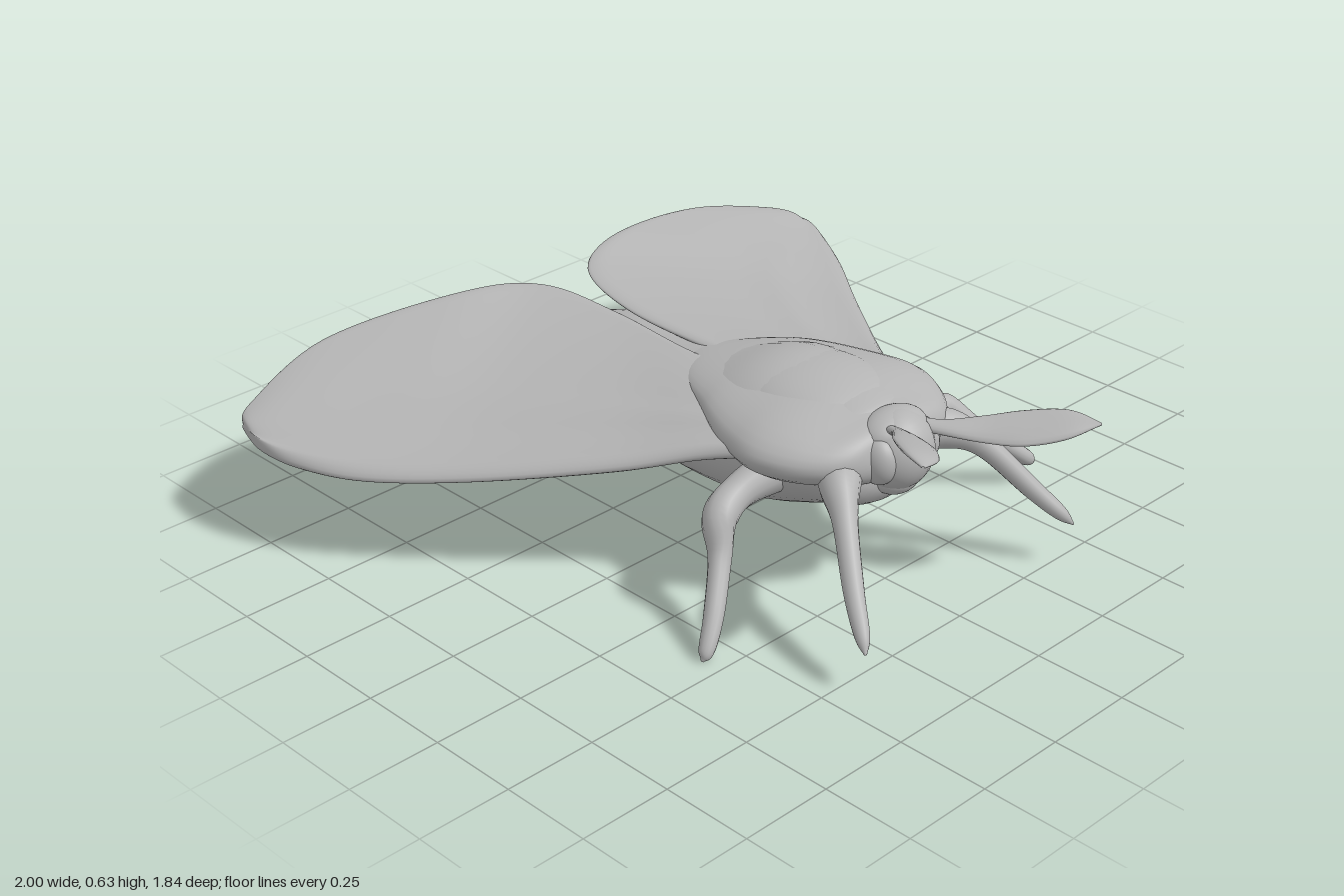
import * as THREE from 'three';

const V = (p) => new THREE.Vector3(p[0], p[1], p[2]);
const curve = (pts) => new THREE.CatmullRomCurve3(pts.map(V), false, 'catmullrom', 0.5);

export function createModel() {
  const group = new THREE.Group();
  const grey = new THREE.MeshStandardMaterial({ color: 0xb4b4b4 });
  grey.name = 'plain grey';

  const add = (name, geometry) => {
    const mesh = new THREE.Mesh(geometry, grey);
    mesh.name = name;
    group.add(mesh);
    return mesh;
  };

  // Skin a list of closed rings
  const skin = (rings, flip = false) => {
    const n = rings[0].length, pos = [], idx = [];
    rings.forEach((r) => r.forEach((p) => pos.push(p.x, p.y, p.z)));
    for (let i = 0; i < rings.length - 1; i++) {
      for (let j = 0; j < n; j++) {
        const a = i * n + j, b = i * n + ((j + 1) % n), c = a + n, d = b + n;
        if (flip) idx.push(a, c, b, b, c, d);
        else idx.push(a, b, c, b, d, c);
      }
    }
    const g = new THREE.BufferGeometry();
    g.setAttribute('position', new THREE.Float32BufferAttribute(pos, 3));
    g.setIndex(idx);
    g.computeVertexNormals();
    return g;
  };

  // Sweep an ellipse: each section is [x, y, z, half width, half height]
  const sweep = (sections, up = [0, 1, 0], steps = 40, sides = 24) => {
    const path = curve(sections);
    const size = curve(sections.map((s) => [s[3], s[4], 0]));
    const rings = [];
    for (let i = 0; i <= steps; i++) {
      const t = i / steps, c = path.getPoint(t), r = size.getPoint(t), tan = path.getTangent(t);
      const side = V(up).cross(tan).normalize();
      const top = tan.clone().cross(side);
      const a = Math.max(r.x, 0.001), b = Math.max(r.y, 0.001);
      rings.push(Array.from({ length: sides }, (_, j) => {
        const q = (j / sides) * Math.PI * 2;
        return c.clone().addScaledVector(side, a * Math.cos(q)).addScaledVector(top, b * Math.sin(q));
      }));
    }
    return skin(rings);
  };

  const ball = (name, p, r) => {
    const m = add(name, new THREE.SphereGeometry(1, 28, 20));
    m.position.set(...p);
    m.scale.set(...r);
  };

  // Abdomen and belly, tapering to the tail
  add('body', sweep([
    [-0.02, 0.38, 0.55, 0.005, 0.005], [-0.02, 0.365, 0.5, 0.17, 0.115],
    [-0.02, 0.37, 0.4, 0.22, 0.15], [-0.02, 0.35, 0.2, 0.26, 0.19],
    [-0.02, 0.318, 0, 0.255, 0.163], [-0.02, 0.31, -0.2, 0.23, 0.137],
    [-0.02, 0.315, -0.4, 0.2, 0.115], [-0.025, 0.305, -0.58, 0.15, 0.08],
    [-0.03, 0.29, -0.645, 0.09, 0.045], [-0.03, 0.28, -0.665, 0.002, 0.002],
  ], [0, 1, 0], 60, 36));

  // Broad shoulders, thinning backward into the wing roots
  add('thorax', sweep([
    [-0.02, 0.415, 0.585, 0.005, 0.005], [-0.02, 0.41, 0.55, 0.17, 0.07],
    [-0.02, 0.41, 0.47, 0.265, 0.09], [-0.02, 0.415, 0.36, 0.315, 0.105],
    [-0.02, 0.42, 0.25, 0.3, 0.1], [-0.02, 0.435, 0.1, 0.24, 0.07],
    [-0.03, 0.435, -0.05, 0.15, 0.04], [-0.03, 0.43, -0.2, 0.005, 0.005],
  ], [0, 1, 0], 50, 36));
  ball('back', [-0.02, 0.445, 0.27], [0.2, 0.095, 0.23]);

  // Head
  ball('head', [-0.02, 0.405, 0.54], [0.1, 0.105, 0.095]);
  ball('brow', [-0.02, 0.455, 0.53], [0.1, 0.055, 0.07]);
  ball('mouth', [-0.02, 0.335, 0.54], [0.07, 0.05, 0.06]);
  for (const s of [-1, 1]) ball('eye', [-0.02 + s * 0.075, 0.405, 0.55], [0.045, 0.065, 0.055]);

  // Leaf-shaped antennae
  const widths = [0.018, 0.022, 0.04, 0.053, 0.043, 0.003];
  const antenna = (name, pts, up) =>
    add(name, sweep(pts.map((p, i) => [...p, widths[i], i === 5 ? 0.003 : 0.012]), up, 30, 16));
  antenna('rightAntenna', [
    [-0.05, 0.47, 0.54], [-0.09, 0.5, 0.61], [-0.15, 0.54, 0.69],
    [-0.22, 0.58, 0.77], [-0.29, 0.61, 0.85], [-0.34, 0.62, 0.9],
  ], [0.45, 1, 0]);
  antenna('leftAntenna', [
    [0.03, 0.46, 0.54], [0.07, 0.455, 0.61], [0.13, 0.457, 0.69],
    [0.19, 0.467, 0.77], [0.26, 0.482, 0.85], [0.305, 0.49, 0.915],
  ], [-0.45, 1, 0.3]);

  // Legs: round sweeps of [x, y, z, radius]
  const leg = (name, pts) =>
    add(name, sweep(pts.map((p) => [p[0], p[1], p[2], p[3], p[3]]), [0, 1, 0], 40, 14));
  leg('rightFrontLeg', [
    [-0.13, 0.38, 0.46, 0.06], [-0.21, 0.37, 0.53, 0.052], [-0.265, 0.32, 0.6, 0.032],
    [-0.35, 0.21, 0.71, 0.026], [-0.395, 0.14, 0.78, 0.019], [-0.415, 0.11, 0.81, 0.003],
  ]);
  leg('leftFrontLeg', [
    [0.1, 0.38, 0.46, 0.06], [0.19, 0.375, 0.53, 0.052], [0.25, 0.33, 0.6, 0.032],
    [0.33, 0.21, 0.7, 0.026], [0.37, 0.15, 0.76, 0.019], [0.39, 0.12, 0.79, 0.003],
  ]);
  leg('rightMiddleLeg', [
    [-0.2, 0.34, 0.32, 0.06], [-0.32, 0.31, 0.3, 0.045], [-0.4, 0.27, 0.31, 0.045],
    [-0.44, 0.19, 0.35, 0.03], [-0.52, 0.09, 0.41, 0.026], [-0.575, 0.025, 0.44, 0.02],
    [-0.595, 0.005, 0.445, 0.003],
  ]);
  leg('leftMiddleLeg', [
    [0.18, 0.37, 0.33, 0.06], [0.3, 0.34, 0.32, 0.04], [0.39, 0.26, 0.3, 0.035],
    [0.445, 0.255, 0.3, 0.037], [0.51, 0.19, 0.36, 0.026], [0.6, 0.11, 0.42, 0.023],
    [0.64, 0.075, 0.44, 0.02], [0.66, 0.06, 0.445, 0.003],
  ]);

  // Wings: ribs between a leading and a trailing edge, with a rolled front rim and a vein fold
  const wing = (name, lead, trail, flip) => {
    const front = curve(lead), back = curve(trail), rings = [], steps = 56, n = 28;
    for (let i = 0; i <= steps; i++) {
      const t = i / steps, a = front.getPoint(t), b = back.getPoint(t), ring = [];
      const tip = Math.sqrt(Math.max(0, 1 - t ** 8));
      for (let j = 0; j < 2 * n; j++) {
        const upper = j <= n;
        const s = 0.5 - 0.5 * Math.cos((Math.PI * (upper ? j : 2 * n - j)) / n);
        const edge = Math.sqrt(Math.min(1, s / 0.04)) * Math.sqrt(Math.min(1, (1 - s) / 0.05));
        const half = tip * edge * (0.012 + 0.011 * Math.exp(-((s / 0.09) ** 2)));
        const fold = 0.01 * Math.exp(-(((s - 0.3) / 0.06) ** 2)) * Math.sin(Math.PI * Math.min(1, t * 1.6));
        const p = a.clone().lerp(b, s);
        p.y += (upper ? half : -half) + fold + 0.012 * tip * Math.sin(Math.PI * s);
        ring.push(p);
      }
      rings.push(ring);
    }
    add(name, skin(rings, flip));
  };
  wing('leftWing', [
    [0.2, 0.42, 0.42], [0.32, 0.385, 0.23], [0.47, 0.335, 0.04], [0.71, 0.285, -0.26],
    [0.885, 0.265, -0.48], [0.975, 0.27, -0.63], [0.998, 0.285, -0.71], [0.99, 0.3, -0.78],
  ], [
    [-0.03, 0.46, 0.25], [-0.035, 0.455, -0.1], [-0.03, 0.46, -0.42], [0.045, 0.475, -0.66],
    [0.26, 0.475, -0.78], [0.62, 0.415, -0.855], [0.93, 0.33, -0.82], [0.99, 0.3, -0.78],
  ], true);
  wing('rightWing', [
    [-0.22, 0.42, 0.42], [-0.35, 0.385, 0.22], [-0.5, 0.335, 0.04], [-0.73, 0.285, -0.24],
    [-0.895, 0.265, -0.46], [-0.975, 0.27, -0.63], [-0.998, 0.285, -0.75], [-0.985, 0.3, -0.85],
  ], [
    [-0.06, 0.46, 0.25], [-0.08, 0.455, -0.1], [-0.065, 0.46, -0.42], [-0.11, 0.475, -0.67],
    [-0.3, 0.475, -0.79], [-0.66, 0.415, -0.92], [-0.93, 0.33, -0.89], [-0.985, 0.3, -0.85],
  ], false);

  return group;
}
